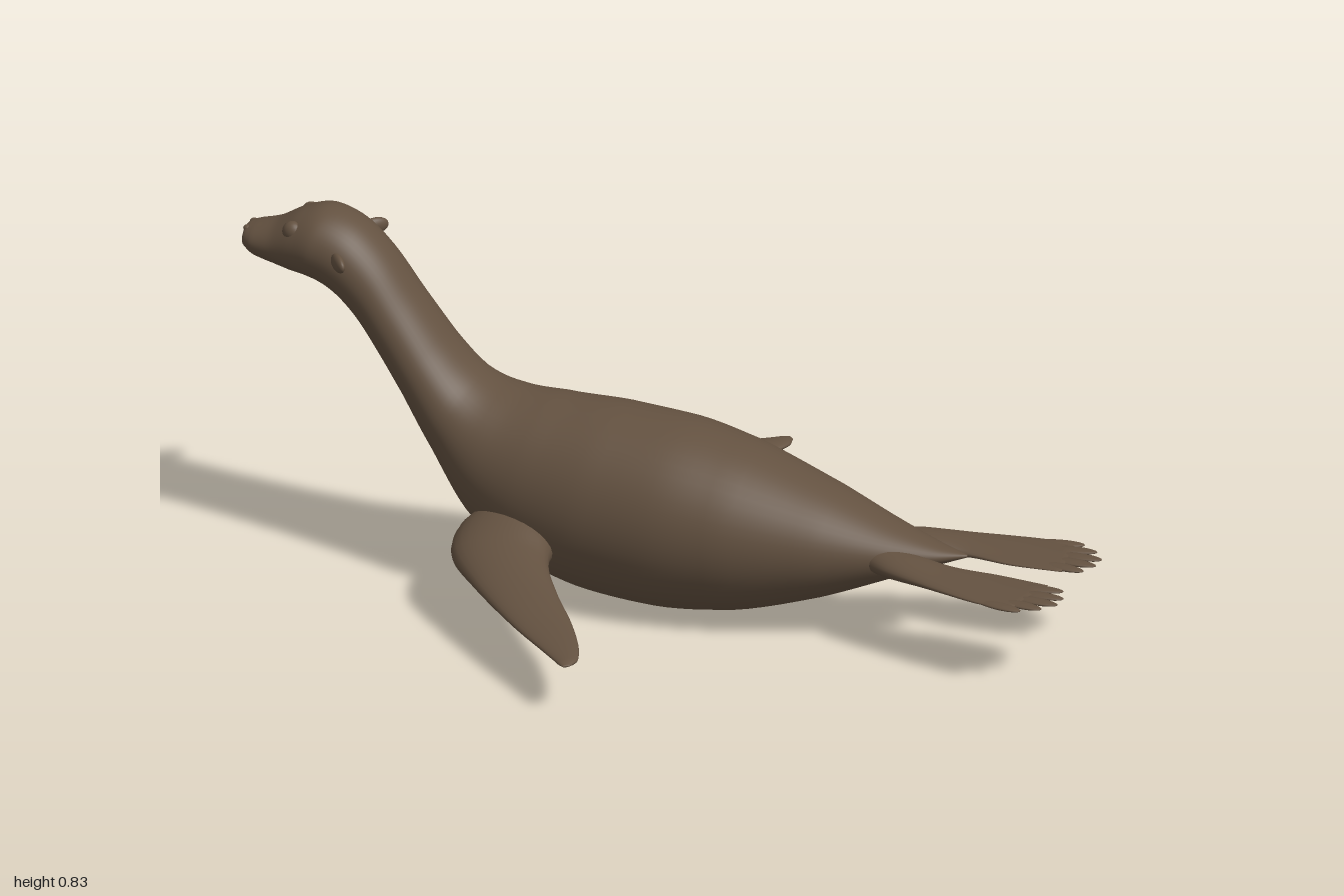
import * as THREE from 'three';

const V = (x, y, z) => new THREE.Vector3(x, y, z);

// Smooth loft of elliptical rings; each section is { c: centre, a, b: half axes }
function loft(sections, steps, sides) {
  const curve = k => new THREE.CatmullRomCurve3(sections.map(s => s[k]));
  const cc = curve('c'), ca = curve('a'), cb = curve('b');
  const pos = [], idx = [];
  for (let i = 0; i <= steps; i++) {
    const t = i / steps;
    const c = cc.getPoint(t), a = ca.getPoint(t), b = cb.getPoint(t);
    for (let j = 0; j < sides; j++) {
      const u = (j / sides) * Math.PI * 2;
      const p = c.clone().addScaledVector(a, Math.cos(u)).addScaledVector(b, Math.sin(u));
      pos.push(p.x, p.y, p.z);
      if (i < steps) {
        const p0 = i * sides + j, p1 = i * sides + (j + 1) % sides;
        idx.push(p0, p1, p0 + sides, p1, p1 + sides, p0 + sides);
      }
    }
  }
  // End caps
  const first = sections[0].c, last = sections[sections.length - 1].c;
  const n = (steps + 1) * sides, e = steps * sides;
  pos.push(first.x, first.y, first.z, last.x, last.y, last.z);
  for (let j = 0; j < sides; j++) {
    const k = (j + 1) % sides;
    idx.push(n, k, j, n + 1, e + j, e + k);
  }
  const g = new THREE.BufferGeometry();
  g.setAttribute('position', new THREE.Float32BufferAttribute(pos, 3));
  g.setIndex(idx);
  g.computeVertexNormals();
  return g;
}

// Flipper rows: lead x, lead z, trail x, trail z, y, half thickness
const flipper = (rows, s, steps) => loft(rows.map(([lx, lz, tx, tz, y, h]) => ({
  c: V((lx + tx) / 2, y, s * (lz + tz) / 2),
  a: V(s * (tx - lx) / 2, 0, (tz - lz) / 2),
  b: V(0, h, 0),
})), steps, 28);

// Body rows: top x, top y, bottom x, bottom y, half width
const BODY = [
  [-1, 0.74, -1, 0.715, 0.02],
  [-0.993, 0.756, -0.993, 0.703, 0.042],
  [-0.97, 0.765, -0.97, 0.688, 0.058],
  [-0.92, 0.78, -0.92, 0.675, 0.07],
  [-0.86, 0.814, -0.88, 0.665, 0.086],
  [-0.80, 0.828, -0.83, 0.657, 0.1],
  [-0.73, 0.805, -0.78, 0.635, 0.101],
  [-0.66, 0.745, -0.73, 0.59, 0.1],
  [-0.58, 0.64, -0.67, 0.51, 0.105],
  [-0.51, 0.55, -0.61, 0.42, 0.115],
  [-0.44, 0.482, -0.53, 0.29, 0.133],
  [-0.36, 0.456, -0.44, 0.155, 0.163],
  [-0.25, 0.452, -0.33, 0.072, 0.188],
  [-0.1, 0.45, -0.17, 0.017, 0.211],
  [0.05, 0.438, 0.01, 0.001, 0.217],
  [0.2, 0.404, 0.2, 0.02, 0.2],
  [0.4, 0.333, 0.4, 0.08, 0.146],
  [0.55, 0.273, 0.55, 0.143, 0.09],
  [0.66, 0.238, 0.66, 0.19, 0.04],
  [0.73, 0.223, 0.73, 0.217, 0.004],
];
const FRONT = [
  [-0.40, 0.08, -0.19, 0.08, 0.16, 0.08],
  [-0.425, 0.17, -0.19, 0.19, 0.157, 0.07],
  [-0.40, 0.27, -0.175, 0.25, 0.15, 0.05],
  [-0.30, 0.385, -0.11, 0.36, 0.137, 0.029],
  [-0.15, 0.53, -0.03, 0.475, 0.125, 0.017],
  [-0.03, 0.635, 0.03, 0.585, 0.12, 0.011],
  [0.015, 0.675, 0.05, 0.645, 0.118, 0.008],
  [0.032, 0.687, 0.045, 0.675, 0.118, 0.002],
];
const HIND = [
  [0.50, 0.075, 0.52, 0.02, 0.205, 0.018],
  [0.53, 0.095, 0.57, 0.022, 0.205, 0.03],
  [0.58, 0.122, 0.64, 0.033, 0.205, 0.027],
  [0.70, 0.16, 0.72, 0.04, 0.203, 0.016],
  [0.82, 0.191, 0.82, 0.032, 0.2, 0.01],
  [0.91, 0.2, 0.94, 0.04, 0.199, 0.005],
];
// Toe tips: x, z
const TOES = [[0.935, 0.197], [0.975, 0.17], [1.0, 0.135], [1.0, 0.098], [0.985, 0.06]];

export function createModel() {
  const group = new THREE.Group();
  const brown = new THREE.MeshStandardMaterial({ color: 0x635140 });
  const add = (name, geo) => {
    const m = new THREE.Mesh(geo, brown);
    m.name = name;
    group.add(m);
    return m;
  };
  const blob = (name, x, y, z, sx, sy, sz, ry = 0) => {
    const m = add(name, new THREE.SphereGeometry(1, 20, 14));
    m.position.set(x, y, z);
    m.scale.set(sx, sy, sz);
    m.rotation.y = ry;
  };

  add('body', loft(BODY.map(([tx, ty, bx, by, w]) => ({
    c: V((tx + bx) / 2, (ty + by) / 2, 0),
    a: V(0, 0, -w),
    b: V((tx - bx) / 2, (ty - by) / 2, 0),
  })), 114, 48));

  for (const s of [1, -1]) {
    const side = s > 0 ? 'left' : 'right';
    add(side + 'FrontFlipper', flipper(FRONT, s, 42));
    add(side + 'HindFlipper', flipper(HIND, s, 30));
    // Toes fan out from the end of the hind flipper
    TOES.forEach(([x, z], i) => {
      const dir = Math.atan2(z - 0.11, 0.45);
      blob(side + 'Toe' + (i + 1), x - 0.058 * Math.cos(dir), 0.199,
        s * (z - 0.058 * Math.sin(dir)), 0.058, 0.006, 0.017, -s * dir);
    });
    // Face details
    blob(side + 'Eye', -0.865, 0.777, s * 0.058, 0.024, 0.024, 0.02);
    blob(side + 'Ear', -0.735, 0.742, s * 0.112, 0.034, 0.02, 0.012, -s * 0.85);
    blob(side + 'Nostril', -0.988, 0.75, s * 0.02, 0.01, 0.008, 0.01);
  }
  return group;
}
